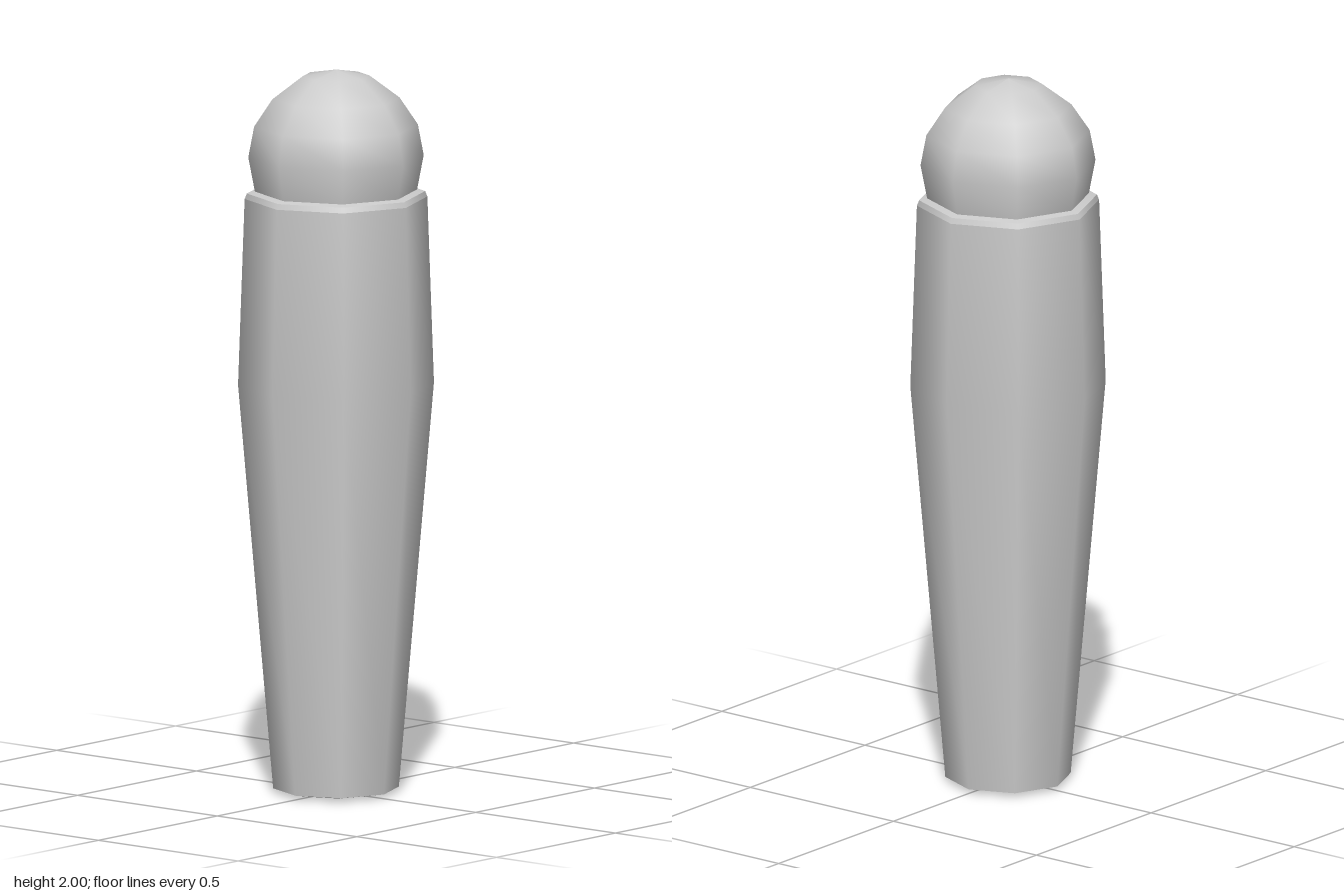
import * as THREE from 'three';

const SIDES = 8;
const material = new THREE.MeshStandardMaterial({ color: 0xcccccc });

// Eight-sided turned surface; profile points are [radius, height].
// Rising profiles face outward, falling ones face inward.
function turned(name, profile) {
  const points = profile.map(([r, y]) => new THREE.Vector2(r, y));
  const mesh = new THREE.Mesh(new THREE.LatheGeometry(points, SIDES), material);
  mesh.name = name;
  return mesh;
}

export function createModel() {
  const group = new THREE.Group();
  group.name = 'roundHeadedPeg';

  group.add(
    // Tapered shaft, widest above the middle
    turned('shaft', [[0.172, 0.012], [0.268, 1.13], [0.25, 1.645]]),
    // Bevelled shoulder and the ledge beneath the head
    turned('shoulderBevel', [[0.25, 1.645], [0.244, 1.66]]),
    turned('shoulderLedge', [[0.244, 1.66], [0.222, 1.665]]),
    // Domed head with a tucked-in neck
    turned('head', [
      [0.222, 1.665], [0.24, 1.76], [0.224, 1.845], [0.174, 1.92], [0.092, 1.982], [0, 2],
    ]),
    // Hollow foot: rim, bore wall and bore end
    turned('footRim', [[0.108, 0], [0.172, 0.012]]),
    turned('boreWall', [[0.108, 1.6], [0.108, 0]]),
    turned('boreEnd', [[0, 1.6], [0.108, 1.6]]),
  );
  return group;
}
